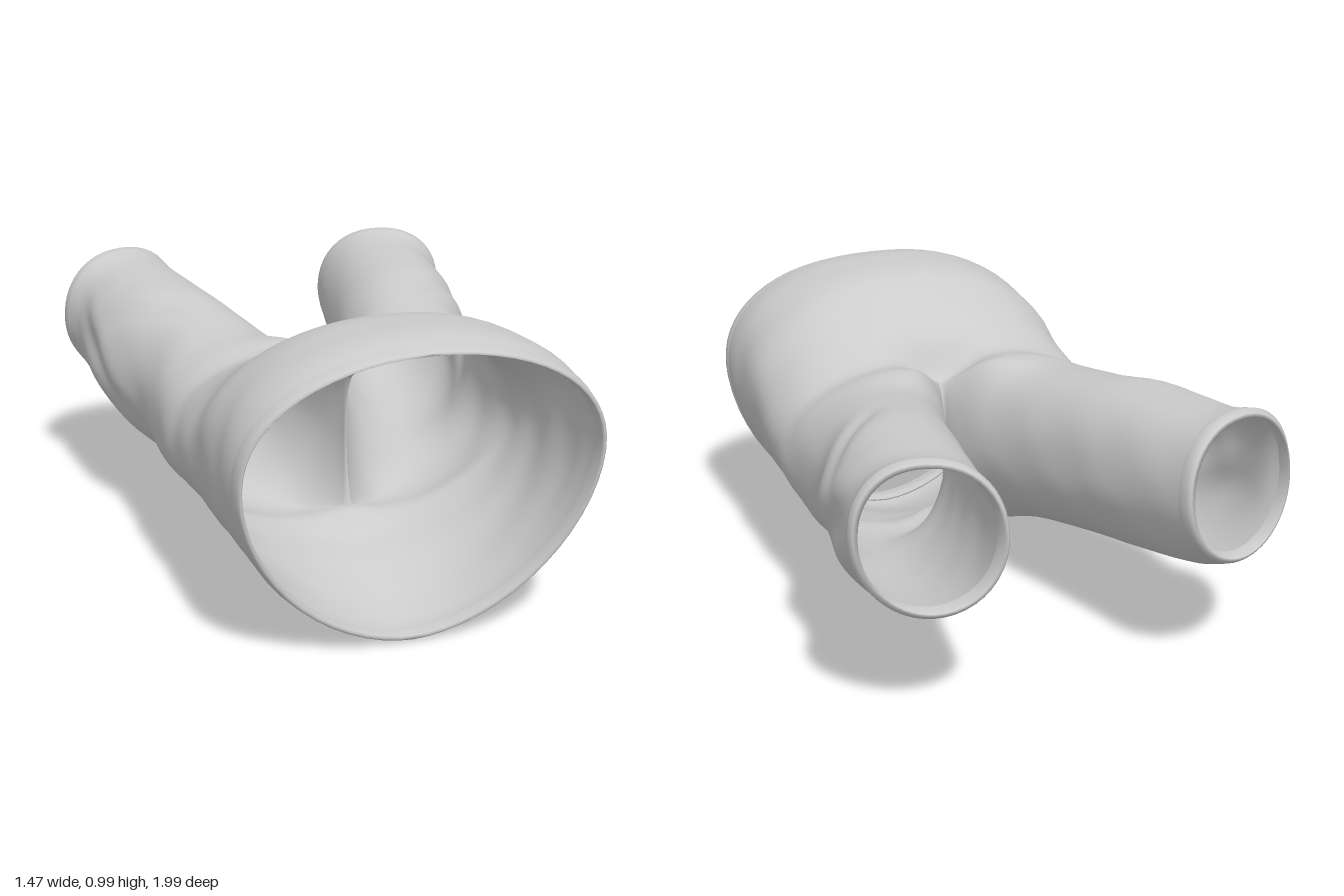
import * as THREE from 'three';
import { mergeGeometries, mergeVertices } from 'three/addons/utils/BufferGeometryUtils.js';

// Cross-sections from waist to cuff: station, inner x, outer x, centre x, top, mid, bottom, centre dip
const SECTIONS = [
  [0.99, 0, 0.575, 0, 0.965, 0.60, 0.015, 0],
  [0.90, 0, 0.587, 0, 0.99, 0.60, 0.005, 0],
  [0.80, 0, 0.59, 0, 0.998, 0.60, 0.02, 0],
  [0.60, 0, 0.59, 0, 0.98, 0.57, 0.07, 0],
  [0.45, 0, 0.59, 0, 0.905, 0.53, 0.11, 0.02],
  [0.32, 0, 0.595, 0, 0.835, 0.51, 0.135, 0.12],
  [0.22, 0, 0.60, 0, 0.795, 0.50, 0.155, 0.42],
  [0.12, 0.03, 0.60, 0.17, 0.785, 0.49, 0.18, 0.12],
  [0.00, 0.07, 0.60, 0.30, 0.775, 0.49, 0.21, 0],
  [-0.20, 0.125, 0.605, 0.36, 0.80, 0.52, 0.245, 0],
  [-0.40, 0.175, 0.67, 0.42, 0.83, 0.55, 0.27, 0],
  [-0.60, 0.22, 0.695, 0.455, 0.84, 0.57, 0.30, 0],
  [-0.80, 0.268, 0.705, 0.485, 0.85, 0.605, 0.35, 0],
  [-0.915, 0.29, 0.735, 0.515, 0.87, 0.635, 0.395, 0],
];
const WAIST = 0.99, CROTCH = 0.22, CUFF = -0.915;
const OUTER_STEPS = 30, INNER_STEPS = 22;
const { smoothstep } = THREE.MathUtils;
const bump = (v, width) => Math.exp(-((v / width) ** 2));

// Smooth (Hermite) interpolation of the section table
function sectionAt(u) {
  const last = SECTIONS.length - 1;
  let i = 0;
  while (i < last - 1 && u < SECTIONS[i + 1][0]) i++;
  const a = SECTIONS[i], b = SECTIONS[i + 1], h = b[0] - a[0], t = (u - a[0]) / h;
  const slope = (k, c) => {
    const p = SECTIONS[Math.max(k - 1, 0)], n = SECTIONS[Math.min(k + 1, last)];
    return (n[c] - p[c]) / (n[0] - p[0]);
  };
  return a.map((_, c) =>
    (2 * t ** 3 - 3 * t ** 2 + 1) * a[c] + (t ** 3 - 2 * t ** 2 + t) * h * slope(i, c) +
    (3 * t ** 2 - 2 * t ** 3) * b[c] + (t ** 3 - t ** 2) * h * slope(i + 1, c));
}

// Soft lengthwise wrinkles, a fold along the outside of the knee and a valley across its top
function wrinkle(u, a) {
  const calm = smoothstep(0.9 - u, 0, 0.15) * smoothstep(u, -0.9, -0.8);
  const ripples = Math.sin(a) ** 2 * (0.006 * Math.sin(9 * u + 7 * a) + 0.005 * Math.sin(23 * u - 5 * a));
  const line = a - 1.65 - 1.6 * (u + 0.4);
  const fold = bump(u + 0.52, 0.21) * (0.03 * bump(line + 0.2, 0.22) - 0.09 * bump(line - 0.2, 0.25));
  const valley = -0.075 * bump(u + 0.38, 0.13) * bump(a - 0.15 + 3.8 * (u + 0.25), 0.27) * smoothstep(a, 0, 0.3);
  return calm * (ripples + fold + valley);
}

// Points round one side: from the top over the outside to the bottom, and for a leg back up the inside
function ring(u, isLeg, scale = 1, shift = 0) {
  const [, inner, outer, centre, top, mid, bottom, dip] = sectionAt(u);
  const cx = isLeg && u < CROTCH ? centre : 0;
  const wi = isLeg && u < CROTCH ? centre - inner : 0;
  const points = [];
  const count = isLeg ? OUTER_STEPS + INNER_STEPS : OUTER_STEPS;
  for (let j = 0; j <= count; j++) {
    const a = j <= OUTER_STEPS ? Math.PI * j / OUTER_STEPS
      : Math.PI * (1 + (j - OUTER_STEPS) / INNER_STEPS);
    const s = Math.abs(Math.sin(a)) < 1e-9 ? 0 : Math.sin(a), c = Math.cos(a);
    const e = 2 / (c > 0 ? 2.2 : 1.98 - 0.16 * smoothstep(u, 0.4, 0.9));
    const grow = scale * (1 + wrinkle(u, a));
    const x = cx + Math.sign(s) * Math.abs(s) ** e * (s > 0 ? outer - cx : wi) * grow;
    const dy = Math.sign(c) * Math.abs(c) ** e * (c > 0 ? top - mid : mid - bottom) * grow;
    // The valley at the crotch is deep on top and shallow underneath
    const y = mid + dy * (1 - dip * bump(x, 0.13) * (c > 0 ? 1 : 0.4));
    // The waist slopes back towards the bottom and dips at the top centre
    const waistTilt = -smoothstep(u, 0.3, WAIST)
      * (0.13 * Math.max(0, 1 - y) ** 1.4 + 0.018 * bump(x, 0.25) * smoothstep(y, 0.8, 0.97));
    // The cuffs turn outwards, the crotch seam curves like a saddle
    const cuffTilt = smoothstep(-u, 0.55, -CUFF) * (0.3 * (x - 0.515) + 0.12 * (y - 0.635));
    const saddle = 0.035 * c * c * bump(x, 0.13) * bump(u - CROTCH, 0.1);
    points.push([x, Math.max(0, y), u + shift + waistTilt + cuffTilt + saddle]);
  }
  return points;
}

// Surface through successive rings
function skin(rings) {
  const n = rings[0].length, index = [];
  for (let i = 0; i < rings.length - 1; i++) {
    for (let j = 0; j < n - 1; j++) {
      const p = i * n + j, q = p + n;
      index.push(p, p + 1, q, p + 1, q + 1, q);
    }
  }
  const geometry = new THREE.BufferGeometry();
  geometry.setAttribute('position', new THREE.Float32BufferAttribute(rings.flat(2), 3));
  geometry.setIndex(index);
  return geometry;
}

function mirrored(geometry) {
  const copy = geometry.clone().scale(-1, 1, 1);
  copy.setIndex([...geometry.index.array].reverse());
  return copy;
}

function range(from, to, steps, make) {
  return Array.from({ length: steps + 1 }, (_, i) => make(from + (to - from) * i / steps));
}

export function createModel() {
  const group = new THREE.Group();
  group.name = 'trousers';
  const material = new THREE.MeshStandardMaterial({ color: 0xcccccc, side: THREE.DoubleSide });

  const add = (name, parts) => {
    const geometry = mergeVertices(mergeGeometries(parts), 1e-4);
    geometry.computeVertexNormals();
    const mesh = new THREE.Mesh(geometry, material);
    mesh.name = name;
    group.add(mesh);
  };

  // Seat and both legs, welded along the crotch seam
  const seat = skin(range(WAIST, CROTCH, 36, u => ring(u, false)));
  const leg = skin(range(CROTCH, CUFF, 60, u => ring(u, true)));
  add('seatAndLegs', [seat, mirrored(seat), leg, mirrored(leg)]);

  // Thin raised waistband
  const band = skin([
    ring(WAIST, false, 0.975, -0.04), ring(WAIST, false, 0.98, 0),
    ring(WAIST, false, 0.99, 0.008), ring(WAIST, false, 1.006, 0),
    ring(0.945, false, 1.008), ring(0.94, false, 0.99),
  ]);
  add('waistband', [band, mirrored(band)]);

  // Bevelled hems of the leg openings
  const hem = skin([
    ring(-0.875, true, 0.985), ring(-0.88, true, 1.006), ring(CUFF, true, 1.006),
    ring(CUFF, true, 0.96, -0.016), ring(CUFF, true, 0.91, -0.022), ring(CUFF, true, 0.9, 0.03),
  ]);
  add('leftCuff', [hem]);
  add('rightCuff', [mirrored(hem)]);
  return group;
}
